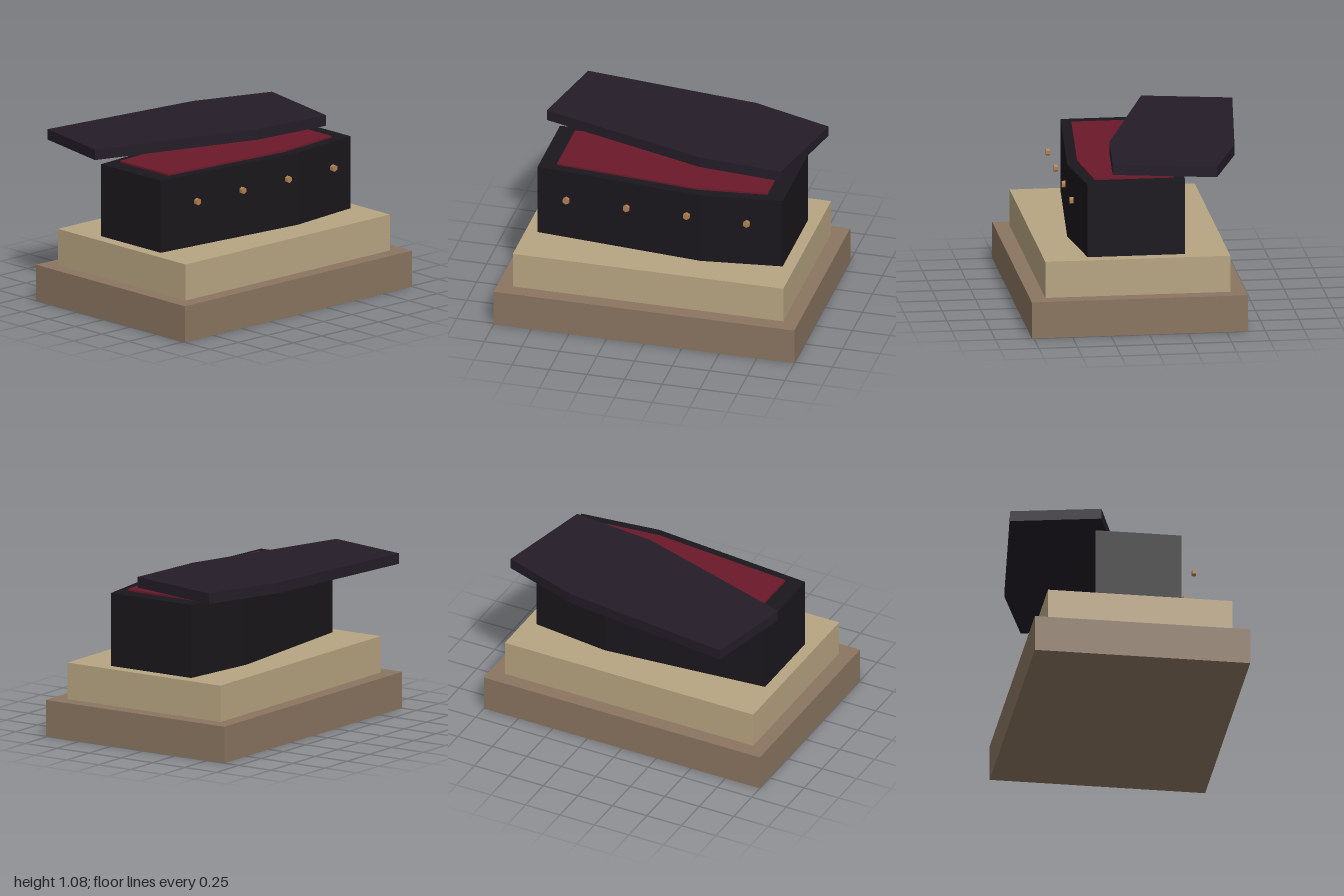
import * as THREE from 'three';

const CENTER_Z = 0.064;

function material(color) {
  return new THREE.MeshStandardMaterial({ color, flatShading: true });
}

function addMesh(group, name, geometry, color, x, y, z) {
  const mesh = new THREE.Mesh(geometry, material(color));
  mesh.name = name;
  mesh.position.set(x, y, z);
  group.add(mesh);
  return mesh;
}

// Six-sided tapered slab, symmetric about its long axis, top face at y = 0.
// Each station is [x, half width].
function taperedSlab(stations, height) {
  const front = stations.map(([x, w]) => new THREE.Vector2(x, w));
  const back = stations.map(([x, w]) => new THREE.Vector2(x, -w)).reverse();
  const shape = new THREE.Shape([...front, ...back]);
  const geometry = new THREE.ExtrudeGeometry(shape, { depth: height, bevelEnabled: false });
  return geometry.rotateX(Math.PI / 2);
}

export function createModel() {
  const model = new THREE.Group();
  model.name = 'coffinOnPlinth';

  // Stepped stone plinth
  addMesh(model, 'lowerStep', new THREE.BoxGeometry(2, 0.24, 1.4), 0x8a7560, 0, 0.12, CENTER_Z);
  addMesh(model, 'upperStep', new THREE.BoxGeometry(1.8, 0.24, 1.2), 0xb8a582, 0, 0.36, CENTER_Z);

  // Coffin body and cloth lining
  const body = taperedSlab([[-0.82, 0.28], [0.29, 0.38], [0.82, 0.315]], 0.48);
  addMesh(model, 'coffinBody', body, 0x1a171c, 0, 0.96, CENTER_Z);
  const lining = taperedSlab([[-0.705, 0.225], [0.25, 0.31], [0.705, 0.26]], 0.04);
  addMesh(model, 'lining', lining, 0x6b1a2a, 0, 0.972, CENTER_Z);

  // Lid, slid back and turned
  const lidShape = taperedSlab([[-0.855, 0.294], [0.302, 0.404], [0.855, 0.337]], 0.07);
  const lid = addMesh(model, 'lid', lidShape, 0x241d28, -0.003, 1.077, -0.298);
  lid.rotation.y = -0.21;

  // Row of hexagonal studs along the front
  const stud = new THREE.CylinderGeometry(0.023, 0.023, 0.024, 6).rotateX(Math.PI / 2);
  for (const x of [-0.6, -0.2, 0.2, 0.6]) {
    addMesh(model, 'stud', stud, 0xb08050, x, 0.803, 0.456);
  }

  return model;
}
